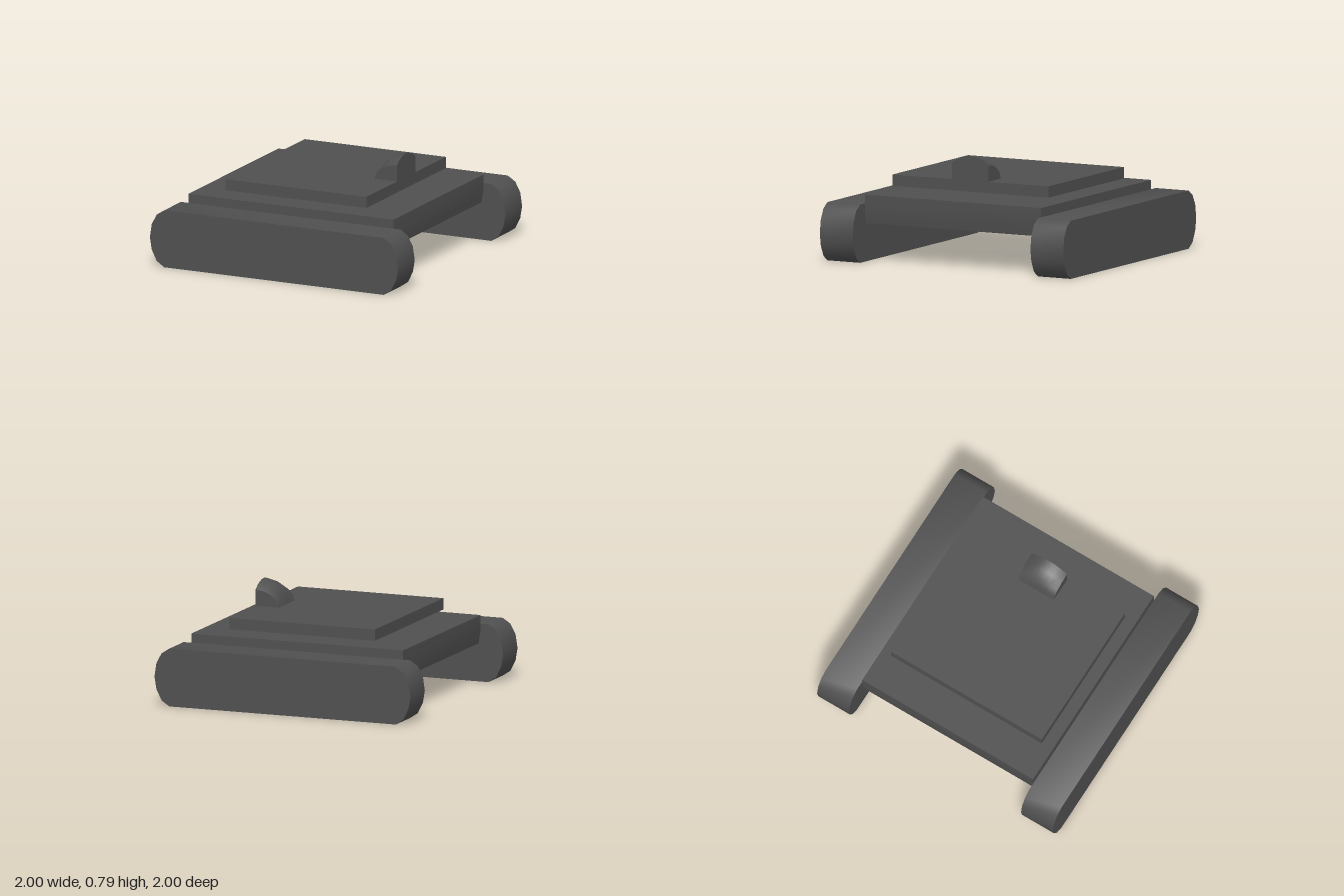
import * as THREE from 'three';
import { toCreasedNormals } from 'three/addons/utils/BufferGeometryUtils.js';

const material = new THREE.MeshStandardMaterial({ color: 0x505050 });

// Extrude an x/y outline along z, centred on z = 0
function extrude(points, depth, steps = 1) {
  const shape = new THREE.Shape(points.map(([x, y]) => new THREE.Vector2(x, y)));
  const geometry = new THREE.ExtrudeGeometry(shape, { depth, steps, bevelEnabled: false });
  return geometry.translate(0, 0, -depth / 2);
}

function add(group, name, geometry, x = 0, y = 0, z = 0) {
  const mesh = new THREE.Mesh(geometry, material);
  mesh.name = name;
  mesh.position.set(x, y, z);
  group.add(mesh);
  return mesh;
}

export function createModel() {
  const group = new THREE.Group();
  group.name = 'trackedPlatform';

  // Two tracks with faceted round ends
  const end = [[0.885, 0], [0.945, 0.04], [0.985, 0.12], [1, 0.21], [0.985, 0.31], [0.945, 0.385], [0.885, 0.424]];
  const outline = [...end, ...end.map(([x, y]) => [-x, y]).reverse()];
  const track = toCreasedNormals(extrude(outline, 0.27), 0.75);
  add(group, 'leftTrack', track, 0, 0, 0.865);
  add(group, 'rightTrack', track, 0, 0, -0.865);

  // Hull between the tracks, its ends drawn in slightly below
  const hull = [[-0.81, 0.28], [0.81, 0.28], [0.827, 0.38], [0.827, 0.49], [-0.827, 0.49], [-0.827, 0.38]];
  add(group, 'hull', toCreasedNormals(extrude(hull, 1.448), 0.6));

  // Pivot and the flat deck it carries
  add(group, 'pivot', new THREE.CylinderGeometry(0.072, 0.072, 0.1, 16), -0.004, 0.52, 0);
  add(group, 'deck', new THREE.BoxGeometry(1.137, 0.083, 1.28), -0.003, 0.568, 0);

  // Hooded sensor: quarter-round profile, lowered towards both sides
  const base = 0.608;
  const hood = extrude(
    [[0.383, base], [0.566, base], [0.566, 0.788], [0.49, 0.768], [0.435, 0.728], [0.4, 0.675]], 0.3, 8);
  const p = hood.attributes.position;
  for (let i = 0; i < p.count; i++) {
    const drop = 1 - 0.32 * (p.getZ(i) / 0.15) ** 2;
    p.setY(i, base + (p.getY(i) - base) * drop);
  }
  add(group, 'sensorHood', toCreasedNormals(hood, 0.7));

  return group;
}
